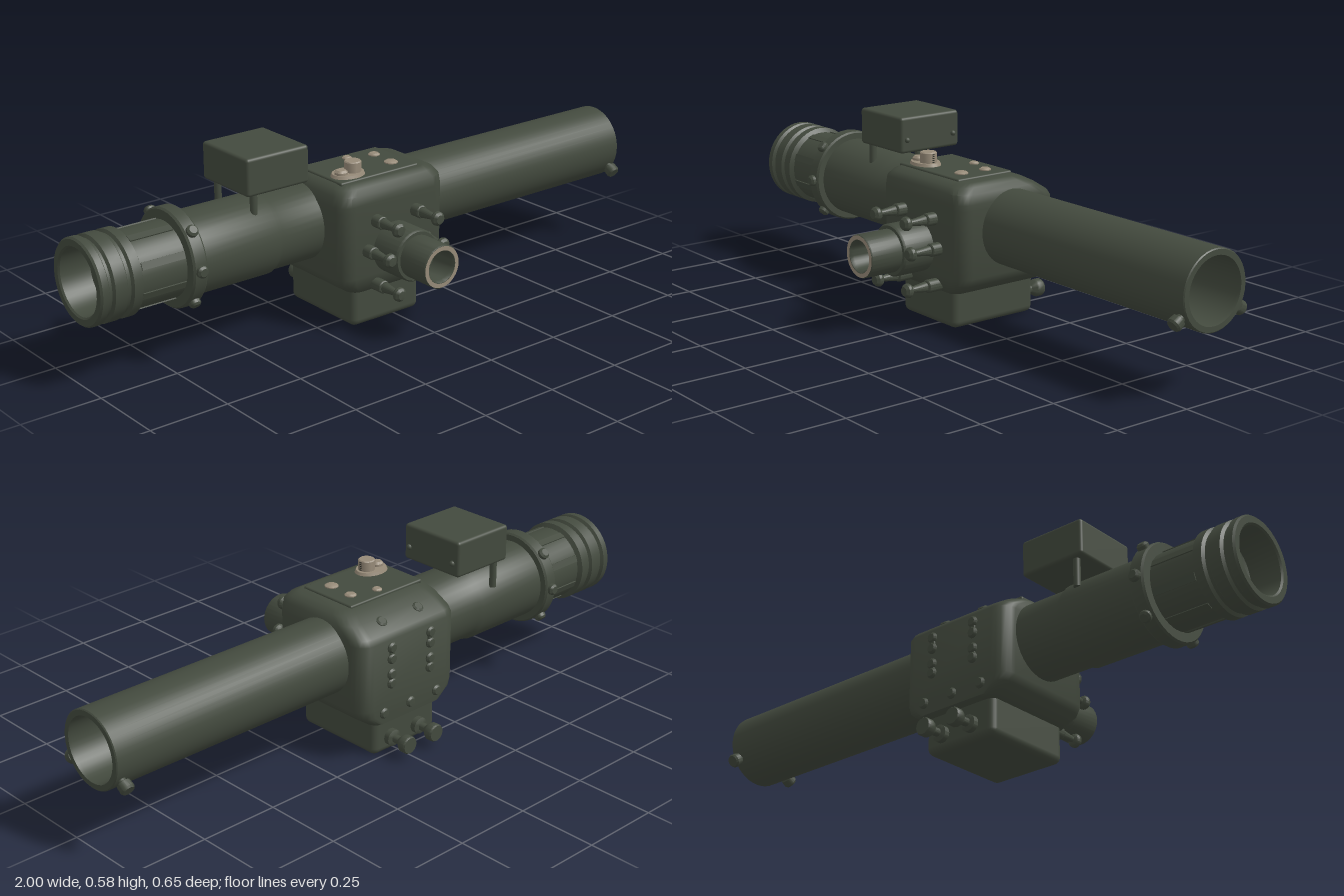
import * as THREE from 'three';
import { toCreasedNormals } from 'three/addons/utils/BufferGeometryUtils.js';
import { RoundedBoxGeometry } from 'three/addons/geometries/RoundedBoxGeometry.js';

const olive = new THREE.MeshStandardMaterial({ color: 0x434a3e });
olive.name = 'olivePaint';
const tan = new THREE.MeshStandardMaterial({ color: 0x968a78 });
tan.name = 'wornMetal';
const dark = new THREE.MeshStandardMaterial({ color: 0x2b2d27 });
dark.name = 'darkMarks';

const AY = 0.312, AZ = -0.092; // axis of the long tube

export function createModel() {
  const root = new THREE.Group();
  root.name = 'opticalSight';

  const add = (name, geo, mat = olive, x = 0, y = 0, z = 0) => {
    const m = new THREE.Mesh(geo, mat);
    m.name = name;
    m.position.set(x, y, z);
    root.add(m);
    return m;
  };
  const lathe = (pts, seg = 32) => toCreasedNormals(
    new THREE.LatheGeometry(pts.map(p => new THREE.Vector2(p[0], p[1])), seg), 0.6);
  // turned part pointing along a direction
  const turned = (name, pts, pos, dir, mat = olive, seg = 16) => {
    const m = add(name, lathe(pts, seg), mat, ...pos);
    m.quaternion.setFromUnitVectors(new THREE.Vector3(0, 1, 0), new THREE.Vector3(...dir).normalize());
    return m;
  };
  const box = (name, x0, x1, y0, y1, z0, z1, r, mat = olive) => add(name,
    new RoundedBoxGeometry(x1 - x0, y1 - y0, z1 - z0, 3, r), mat,
    (x0 + x1) / 2, (y0 + y1) / 2, (z0 + z1) / 2);

  // Housing: rounded rectangles stacked upwards [y, x0, x1, z0 (back), z1 (front), corner radius]
  add('housing', loft([
    [0.113, -0.165, 0.095, -0.255, 0.075, 0.03],
    [0.119, -0.180, 0.110, -0.264, 0.086, 0.035],
    [0.150, -0.224, 0.154, -0.265, 0.103, 0.045],
    [0.175, -0.235, 0.165, -0.265, 0.109, 0.05],
    [0.385, -0.235, 0.165, -0.264, 0.110, 0.05],
    [0.402, -0.235, 0.165, -0.252, 0.110, 0.05],
    [0.432, -0.230, 0.160, -0.205, 0.108, 0.05],
    [0.450, -0.218, 0.148, -0.170, 0.094, 0.05],
    [0.460, -0.200, 0.130, -0.140, 0.070, 0.04],
  ]));
  box('topPlate', -0.2, 0.095, 0.452, 0.466, -0.145, 0.06, 0.006);
  box('lowerBox', -0.17, 0.09, 0.002, 0.135, -0.24, 0.073, 0.022);

  // Long open tube on the left
  turned('longTube', [
    [0.117, 0.1], [0.117, 0.997], [0.114, 1], [0.098, 1], [0.096, 0.99], [0.096, 0.25], [0, 0.21],
  ], [0, AY, AZ], [1, 0, 0], olive, 40);
  for (const s of [-1, 1]) {
    turned('muzzleKnob', [[0.013, 0.1], [0.013, 0.122], [0.021, 0.126], [0.022, 0.146], [0.018, 0.152], [0, 0.152]],
      [0.975, AY, AZ], [0, -0.55, s * 0.9]);
  }

  // Stepped barrel on the right, ribbed at the end
  turned('steppedBarrel', [
    [0, -0.88], [0.098, -0.9], [0.1, -0.995], [0.105, -1], [0.124, -1], [0.129, -0.994], [0.129, -0.974],
    [0.12, -0.968], [0.12, -0.96], [0.129, -0.954], [0.129, -0.916], [0.12, -0.91], [0.12, -0.9],
    [0.129, -0.894], [0.129, -0.866], [0.115, -0.858], [0.115, -0.665], [0.125, -0.665],
    [0.125, -0.4], [0.118, -0.385], [0.118, -0.15],
  ], [0, AY + 0.004, AZ - 0.003], [1, 0, 0], olive, 40);
  turned('clampRing', [[0.11, -0.714], [0.144, -0.714], [0.149, -0.708], [0.149, -0.672], [0.144, -0.666], [0.11, -0.666]],
    [0, AY + 0.004, AZ - 0.003], [1, 0, 0], olive, 40);
  for (const a of [0, 45, 135, 180, 225, 315].map(THREE.MathUtils.degToRad)) {
    turned('clampBolt', [[0.018, 0.14], [0.018, 0.158], [0.012, 0.164], [0, 0.164]],
      [-0.69, AY + 0.004, AZ - 0.003], [0, Math.sin(a), Math.cos(a)]);
  }
  for (let i = 0; i < 8; i++) {
    const a = (i + 0.5) * Math.PI / 4;
    const bar = add('barrelRib', new THREE.BoxGeometry(0.14, 0.008, 0.022), olive,
      -0.787, AY + 0.004 + Math.cos(a) * 0.114, AZ - 0.003 + Math.sin(a) * 0.114);
    bar.rotation.x = a;
  }

  // Raised box over the barrel
  box('upperBox', -0.49, -0.27, 0.47, 0.585, -0.226, 0, 0.01);
  for (const z of [-0.022, -0.202]) {
    add('upperBoxButton', new THREE.SphereGeometry(0.009, 12, 8), olive, -0.269, 0.513, z);
    add('upperBoxPost', new THREE.CylinderGeometry(0.011, 0.011, 0.095, 12), olive, -0.455, 0.43, z);
  }

  // Eyepiece on the front
  turned('eyepiece', [
    [0.08, 0.09], [0.08, 0.21], [0.076, 0.216], [0.066, 0.216], [0.066, 0.322], [0.064, 0.325],
    [0.05, 0.325], [0.044, 0.315], [0.042, 0.24], [0, 0.235],
  ], [-0.04, 0.247, 0], [0, 0, 1], olive, 32);
  add('eyepieceRim', new THREE.RingGeometry(0.051, 0.064, 32), tan, -0.04, 0.247, 0.3258);

  // Control levers around the eyepiece
  const lever = [
    [0.02, 0.095], [0.02, 0.14], [0.017, 0.143], [0.011, 0.143], [0.016, 0.146], [0.009, 0.197],
    [0.018, 0.202], [0.022, 0.209], [0.021, 0.218], [0.014, 0.226], [0, 0.228],
  ];
  for (const [x, y] of [[-0.11, 0.345], [0.04, 0.345], [-0.142, 0.257], [0.062, 0.257], [-0.105, 0.141], [0.045, 0.141]]) {
    turned('frontLever', lever, [x, y, 0], [0, 0, 1]);
  }

  // Two knobs behind the lower box
  for (const x of [-0.09, 0.022]) {
    turned('rearKnob', [
      [0.026, 0.23], [0.026, 0.257], [0.02, 0.26], [0.013, 0.262], [0.013, 0.282], [0.025, 0.296], [0.028, 0.302],
      [0.028, 0.32], [0.025, 0.325], [0, 0.325],
    ], [x, 0.05, 0], [0, 0, -1]);
  }

  // Fittings on the back face
  const stud = [[0.017, 0.255], [0.017, 0.268], [0.012, 0.274], [0, 0.275]];
  for (const x of [-0.115, 0.045]) {
    for (const y of [0.36, 0.325, 0.275, 0.245]) turned('rearStud', stud, [x, y, 0], [0, 0, -1]);
    box('rearStrap', x - 0.01, x + 0.01, 0.32, 0.365, -0.27, -0.255, 0.004);
    box('rearStrap', x - 0.01, x + 0.01, 0.24, 0.28, -0.27, -0.255, 0.004);
  }
  for (const x of [-0.145, -0.035, 0.075]) turned('rearLowerStud', stud, [x, 0.156, 0], [0, 0, -1]);
  for (const x of [-0.11, 0.04]) {
    turned('slopeButton', [[0.017, -0.02], [0.017, 0.01], [0.012, 0.014], [0, 0.014]],
      [x, 0.418, -0.212], [0, 0.85, -0.5]);
  }

  // Dial and screws on the top
  const dialBase = add('dialBase', new THREE.CylinderGeometry(0.04, 0.044, 0.012, 28), tan, -0.135, 0.469, 0.008);
  dialBase.scale.x = 1.3;
  turned('dialKnob', [[0.026, 0.47], [0.026, 0.505], [0.023, 0.508], [0, 0.508]], [-0.118, 0, 0.01], [0, 1, 0], tan, 24);
  turned('dialCap', [[0.02, 0.47], [0.02, 0.482], [0.014, 0.488], [0, 0.488]], [-0.163, 0, 0.012], [0, 1, 0], tan);
  for (let i = 0; i < 5; i++) {
    add('dialMark', new THREE.BoxGeometry(0.002, 0.003, 0.008), dark, -0.0925, 0.478 + i * 0.006, 0.01);
  }
  for (const [x, z, r] of [[-0.045, -0.11, 0.015], [0.04, -0.085, 0.018], [0.035, 0.002, 0.021]]) {
    turned('topScrew', [[r, 0.46], [r, 0.469], [r * 0.7, 0.473], [0, 0.473]], [x, 0, z], [0, 1, 0], tan);
  }
  return root;
}

// Joins rounded-rectangle sections and caps both ends
function loft(sections, k = 5) {
  const pos = [], idx = [], n = 4 * (k + 1);
  for (const [y, x0, x1, z0, z1, r] of sections) {
    const corners = [[x1 - r, z1 - r], [x1 - r, z0 + r], [x0 + r, z0 + r], [x0 + r, z1 - r]];
    corners.forEach(([cx, cz], c) => {
      for (let i = 0; i <= k; i++) {
        const a = (c + i / k) * Math.PI / 2;
        pos.push(cx + r * Math.sin(a), y, cz + r * Math.cos(a));
      }
    });
  }
  const last = sections.length - 1;
  for (let s = 0; s < last; s++) {
    for (let i = 0; i < n; i++) {
      const a = s * n + i, b = s * n + (i + 1) % n;
      idx.push(a, b, b + n, a, b + n, a + n);
    }
  }
  for (let i = 1; i < n - 1; i++) {
    idx.push(0, i + 1, i, last * n, last * n + i, last * n + i + 1);
  }
  const g = new THREE.BufferGeometry();
  g.setAttribute('position', new THREE.Float32BufferAttribute(pos, 3));
  g.setIndex(idx);
  return toCreasedNormals(g, 0.7);
}
